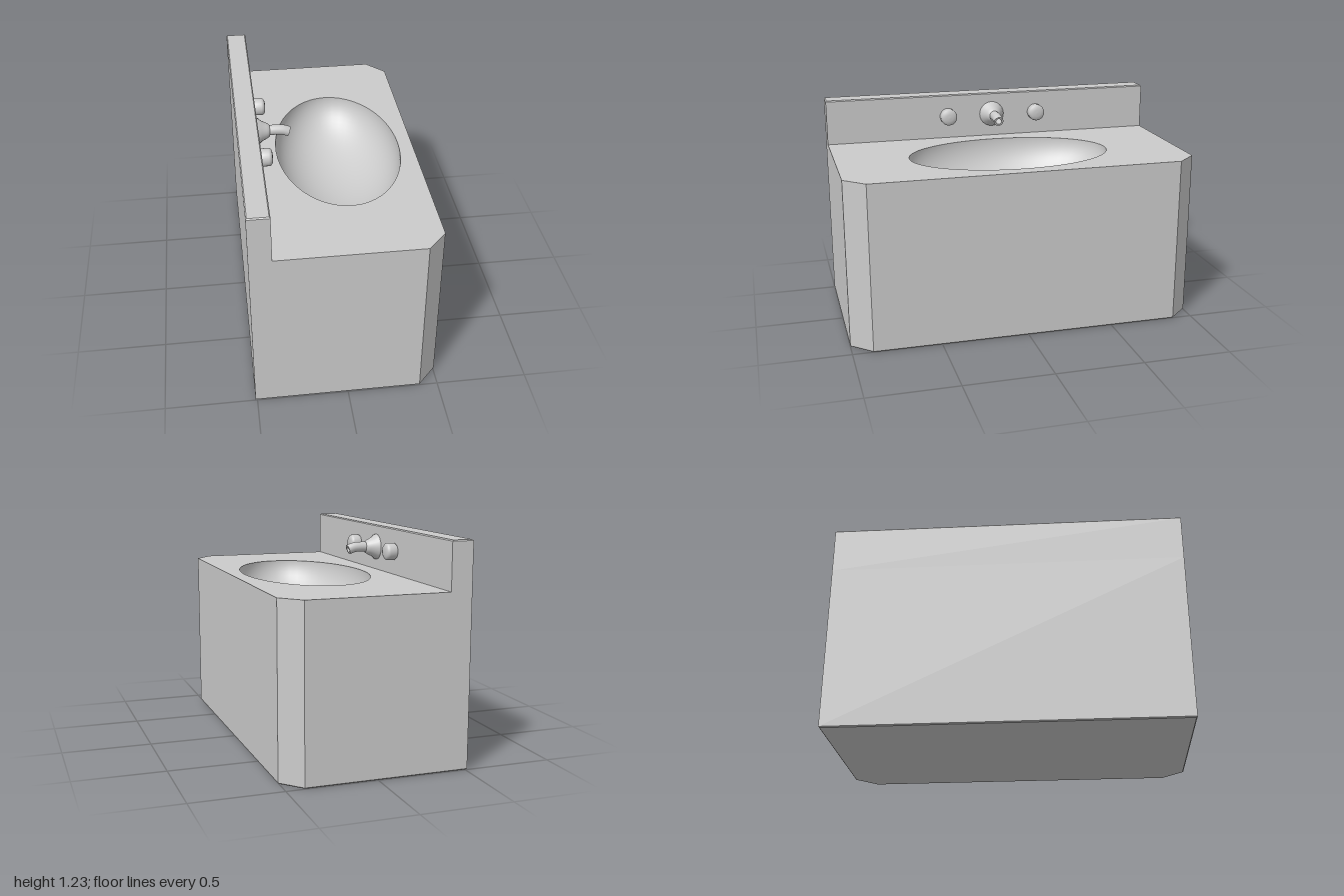
import * as THREE from 'three';

const BACK = -0.51, SPLASH = -0.39, FRONT = 0.505, TOP = 0.96, BEVEL = 0.006;
const TAP_Y = 1.095, TAP_Z = -0.01;

export function createModel() {
  const model = new THREE.Group();
  const grey = new THREE.MeshStandardMaterial({ color: 0xcccccc });
  const thin = new THREE.MeshStandardMaterial({ color: 0xcccccc, side: THREE.DoubleSide });

  const add = (name, geometry, material = grey, parent = model) => {
    const mesh = new THREE.Mesh(geometry, material);
    mesh.name = name;
    parent.add(mesh);
    return mesh;
  };

  // Plan outlines as [x, z], shrunk by an inset for the bevelled edges
  const cabinetPlan = (i = 0) => [
    [BACK + i, -1 + i], [BACK + i, 1 - i], [0.4 - i / 2, 1 - i],
    [FRONT - i, 0.885 - i / 2], [FRONT - i, -0.885 + i / 2], [0.4 - i / 2, -1 + i],
  ];
  const splashPlan = (i = 0) => [
    [BACK + i, -1 + i], [BACK + i, 1 - i], [SPLASH - i, 1 - i], [SPLASH - i, -1 + i],
  ];

  // Flat-shaded walls through a stack of [height, inset] rings
  const walls = (plan, rings) => {
    const pos = [];
    for (let r = 0; r < rings.length - 1; r++) {
      const [y0, i0] = rings[r], [y1, i1] = rings[r + 1];
      const low = plan(i0), high = plan(i1);
      low.forEach(([ax, az], k) => {
        const n = (k + 1) % low.length;
        const a = [ax, y0, az], b = [low[n][0], y0, low[n][1]];
        const c = [high[n][0], y1, high[n][1]], d = [high[k][0], y1, high[k][1]];
        pos.push(...a, ...b, ...c, ...a, ...c, ...d);
      });
    }
    const g = new THREE.BufferGeometry();
    g.setAttribute('position', new THREE.Float32BufferAttribute(pos, 3));
    g.computeVertexNormals();
    return g;
  };

  // Horizontal face facing up (1) or down (-1); the plans mirror in z
  const cap = (points, y, facing, hole) => {
    const shape = new THREE.Shape(points.map(p => new THREE.Vector2(...p)));
    if (hole) shape.holes.push(hole);
    return new THREE.ShapeGeometry(shape, 24).rotateX(-facing * Math.PI / 2).translate(0, y, 0);
  };

  // Cabinet with clipped front corners
  add('cabinetWalls', walls(cabinetPlan, [[0, BEVEL], [BEVEL, 0], [TOP, 0]]));
  add('cabinetBottom', cap(cabinetPlan(BEVEL), 0, -1));

  // Countertop with an oval opening
  const opening = new THREE.Path().absellipse(0.07, 0, 0.355, 0.585, 0, Math.PI * 2, true);
  const counter = cabinetPlan();
  counter[0][0] = counter[1][0] = SPLASH;
  add('countertop', cap(counter, TOP, 1, opening));

  // Basin: lower half of an ellipsoid
  const basin = new THREE.SphereGeometry(1, 48, 20, 0, Math.PI * 2, Math.PI / 2, Math.PI / 2);
  add('basin', basin.scale(0.355, 0.3, 0.585).translate(0.07, TOP, 0), thin);

  // Backsplash
  add('backsplashWalls', walls(splashPlan, [[TOP, 0], [1.225 - BEVEL, 0], [1.225, BEVEL]]));
  add('backsplashTop', cap(splashPlan(BEVEL), 1.225, 1));

  // Turned parts point forward along +x from the backsplash
  const turned = (profile, z) => new THREE.LatheGeometry(
    profile.map(p => new THREE.Vector2(...p)), 24,
  ).rotateZ(-Math.PI / 2).translate(SPLASH, TAP_Y, z);

  // Tap handles
  const knob = [[0.042, 0], [0.049, 0.008], [0.05, 0.045], [0.047, 0.056], [0.038, 0.064], [0.02, 0.068], [0, 0.069]];
  add('rightHandle', turned(knob, TAP_Z - 0.277));
  add('leftHandle', turned(knob, TAP_Z + 0.277));

  // Spout: flared base and a hollow bent pipe
  const faucet = new THREE.Group();
  faucet.name = 'faucet';
  model.add(faucet);
  add('spoutBase', turned([[0.075, 0], [0.074, 0.01], [0.058, 0.028], [0.045, 0.055], [0.036, 0.07], [0.029, 0.074]], TAP_Z), grey, faucet);
  const path = new THREE.CatmullRomCurve3(
    [[-0.34, 1.096], [-0.28, 1.098], [-0.24, 1.094], [-0.208, 1.083]]
      .map(([x, y]) => new THREE.Vector3(x, y, TAP_Z)));
  add('spoutPipe', new THREE.TubeGeometry(path, 16, 0.029, 20), grey, faucet);
  add('spoutBore', new THREE.TubeGeometry(path, 16, 0.018, 20), thin, faucet);
  const lip = add('spoutLip', new THREE.RingGeometry(0.018, 0.029, 20), thin, faucet);
  lip.position.copy(path.getPoint(1));
  lip.quaternion.setFromUnitVectors(new THREE.Vector3(0, 0, 1), path.getTangent(1));

  return model;
}
